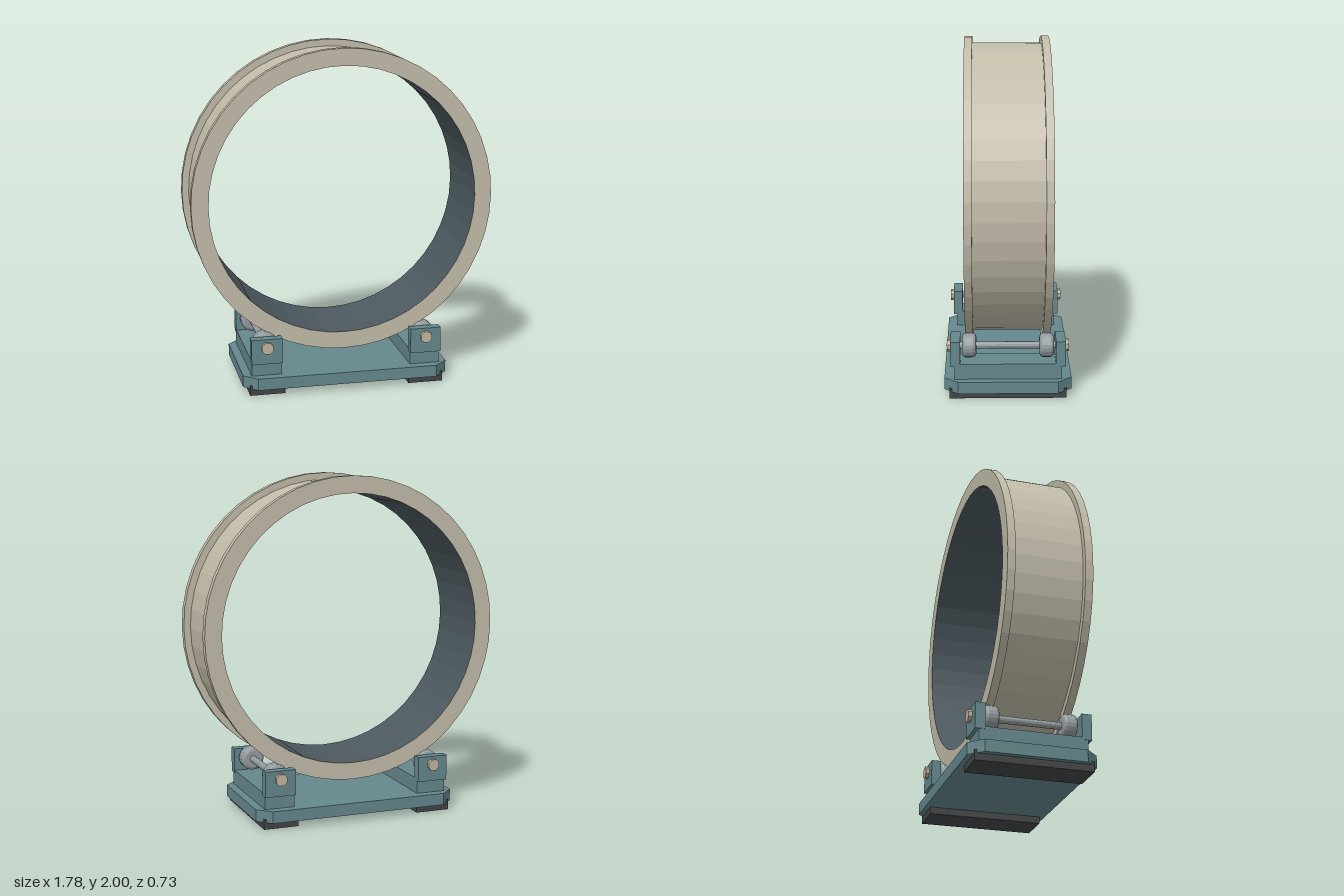
import * as THREE from 'three';

const mat = (name, color) => {
  const m = new THREE.MeshStandardMaterial({ color });
  m.name = name;
  return m;
};

// Separate the faces so that every facet is shaded flat
const facet = (geometry) => {
  const g = geometry.toNonIndexed();
  g.computeVertexNormals();
  return g;
};

// Profile of [radius, z] points turned around the z axis
const turned = (points, sides) => facet(
  new THREE.LatheGeometry(points.map(([r, z]) => new THREE.Vector2(r, z)), sides).rotateX(Math.PI / 2));

export function createModel() {
  const model = new THREE.Group();
  model.name = 'ringOnRollers';
  const stone = mat('pale stone', 0xc2bca9);
  const lining = mat('dark slate', 0x4d5a60);
  const teal = mat('teal paint', 0x64878c);
  const rubber = mat('black rubber', 0x434446);
  const steel = mat('grey steel', 0x949ca0);
  const brass = mat('pale bolt', 0xc4b59f);

  const add = (parent, name, geometry, material, x = 0, y = 0, z = 0) => {
    const mesh = new THREE.Mesh(geometry, material);
    mesh.name = name;
    mesh.position.set(x, y, z);
    parent.add(mesh);
    return mesh;
  };

  // Large ring with a flange along each rim and a dark inner face
  const ring = new THREE.Group();
  ring.name = 'ring';
  ring.position.y = 1.11;
  model.add(ring);
  add(ring, 'ringBody', turned([
    [0.79, -0.245], [0.89, -0.245], [0.89, -0.2], [0.85, -0.2],
    [0.85, 0.2], [0.89, 0.2], [0.89, 0.245], [0.79, 0.245]], 48), stone);
  add(ring, 'ringLining', turned([[0.79, 0.245], [0.79, -0.245]], 48), lining);

  // Base plate with cut corners
  const w = 0.615, d = 0.365, c = 0.078;
  const outline = new THREE.Shape([
    [-w + c, -d], [w - c, -d], [w, -d + c], [w, d - c],
    [w - c, d], [-w + c, d], [-w, d - c], [-w, -d + c],
  ].map(([x, y]) => new THREE.Vector2(x, y)));
  const plate = new THREE.ExtrudeGeometry(outline, { depth: 0.07, bevelEnabled: false });
  plate.rotateX(-Math.PI / 2);
  add(model, 'basePlate', plate, teal, 0, 0.04, 0);

  // Shared roller parts
  const wheel = turned([
    [0.02, -0.041], [0.05, -0.041], [0.063, -0.035], [0.07, -0.024],
    [0.07, 0.024], [0.063, 0.035], [0.05, 0.041], [0.02, 0.041]], 20);
  const axle = facet(new THREE.CylinderGeometry(0.021, 0.021, 0.56, 12).rotateX(Math.PI / 2));
  const bolt = facet(new THREE.CylinderGeometry(0.036, 0.036, 0.03, 8)
    .rotateY(Math.PI / 8).rotateX(Math.PI / 2));

  for (const side of [-1, 1]) {
    // Foot, cross beam and roller axle on each side
    const stand = new THREE.Group();
    stand.name = side > 0 ? 'leftStand' : 'rightStand';
    model.add(stand);
    const x = side * 0.477;
    add(stand, 'foot', new THREE.BoxGeometry(0.208, 0.06, 0.67), rubber, x, 0.03, 0);
    add(stand, 'crossBeam', new THREE.BoxGeometry(0.178, 0.092, 0.616), teal, x, 0.154, 0);
    add(stand, 'axle', axle, steel, x, 0.285, 0);
    for (const end of [-1, 1]) {
      add(stand, 'bracket', new THREE.BoxGeometry(0.184, 0.15, 0.056), teal, x, 0.26, end * 0.302);
      add(stand, 'wheel', wheel, steel, x, 0.285, end * 0.223);
      add(stand, 'bolt', bolt, brass, x, 0.285, end * 0.336);
    }
  }
  return model;
}
